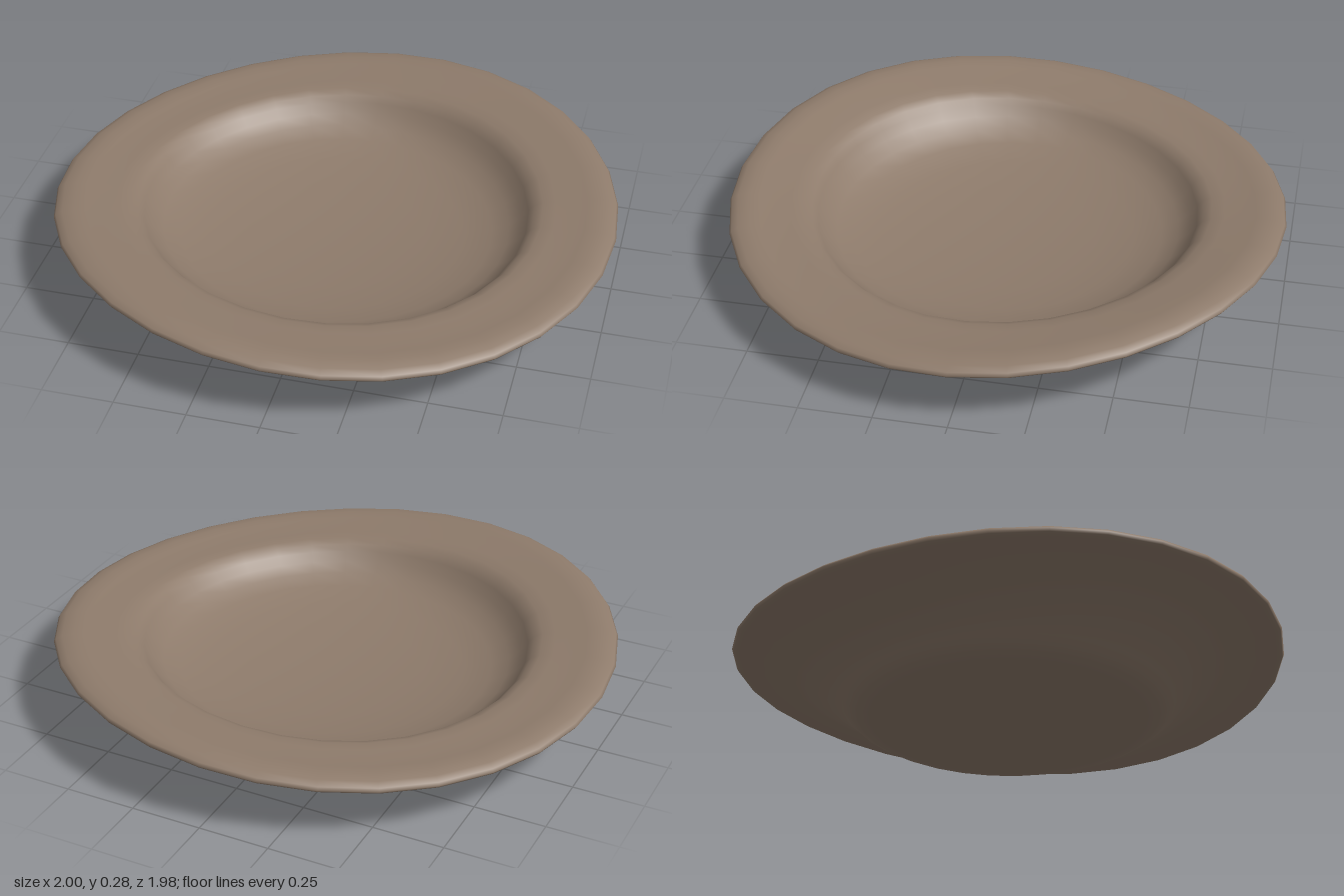
import * as THREE from 'three';
import { mergeVertices } from 'three/addons/utils/BufferGeometryUtils.js';

const clay = new THREE.MeshStandardMaterial({ color: 0x8e7b6b });
clay.name = 'brownClay';

// Closed profile: underside, outer wall, rounded lip, rim, then the hollow
const profile = [
  [0, 0], [0.3, 0], [0.5, 0.004], [0.54, 0.01], [0.575, 0.027], [0.6, 0.052],
  [0.64, 0.085], [0.7, 0.122], [0.76, 0.152], [0.83, 0.177], [0.91, 0.196],
  [0.975, 0.207], [0.994, 0.213], [1, 0.222], [0.993, 0.232], [0.97, 0.243],
  [0.93, 0.248], [0.89, 0.244], [0.84, 0.236], [0.78, 0.232], [0.735, 0.226],
  [0.705, 0.212], [0.685, 0.19], [0.66, 0.158], [0.62, 0.126], [0.56, 0.1],
  [0.46, 0.077], [0.32, 0.06], [0.16, 0.051], [0, 0.048],
].map(([r, y]) => new THREE.Vector2(r, y));

// Hand-made warp: the rim rises and falls like a shallow saddle
function warp(geometry) {
  const p = geometry.attributes.position;
  for (let i = 0; i < p.count; i++) {
    const x = p.getX(i), z = p.getZ(i);
    const r = Math.hypot(x, z);
    const angle = Math.atan2(z, x);
    const weight = THREE.MathUtils.smoothstep(r, 0.5, 0.92);
    const lift = -0.03 * Math.sin(2 * angle) - 0.01 * Math.cos(2 * angle);
    p.setY(i, p.getY(i) + weight * lift);
    p.setZ(i, z * 0.988);
  }
}

export function createModel() {
  const group = new THREE.Group();
  group.name = 'plate';

  let geometry = new THREE.LatheGeometry(profile, 32);
  geometry.deleteAttribute('uv');
  geometry.deleteAttribute('normal');
  geometry = mergeVertices(geometry, 1e-4);
  warp(geometry);
  geometry.computeVertexNormals();

  const dish = new THREE.Mesh(geometry, clay);
  dish.name = 'dish';
  group.add(dish);
  return group;
}
